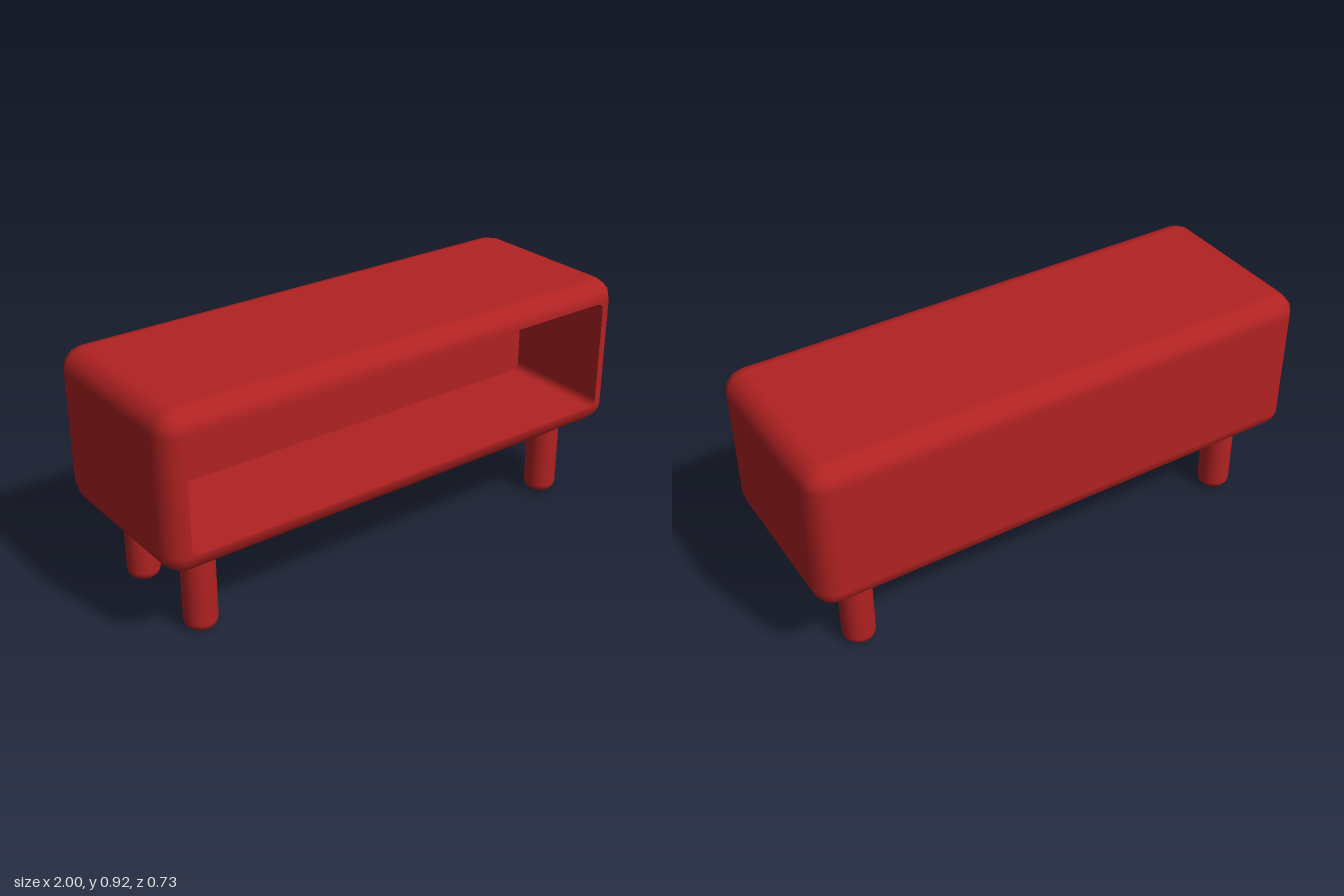
import * as THREE from 'three';

const RED = new THREE.MeshStandardMaterial({ color: 0xb22222 });
RED.name = 'red';

const HX = 1, HY = 0.2975, HZ = 0.365;  // half sizes of the cabinet
const CENTRE_Y = 0.6175;
const BEVEL = 0.08, STEPS = 3;          // edge rounding
const NICHE_DEPTH = 0.44, NICHE_R = 0.03;
const IX = HX - BEVEL, IY = HY - BEVEL; // half sizes inside the bevel

// A ring is a rounded rectangle: corner centres at (ix, iy), corner radius r,
// depth z, and a normal with nr along the corner direction and nz along z.
const ring = (ix, iy, r, z, nr, nz) => ({ ix, iy, r, z, nr, nz });

// Skins each strip of rings; normals are smooth inside a strip, sharp between strips.
function loft(strips) {
  const pos = [], nor = [], idx = [];
  const n = 4 * (STEPS + 1);
  for (const strip of strips) {
    const base = pos.length / 3;
    for (const s of strip) {
      for (let q = 0; q < 4; q++) {
        const sx = q === 0 || q === 3 ? 1 : -1, sy = q < 2 ? 1 : -1;
        for (let k = 0; k <= STEPS; k++) {
          const t = (q + k / STEPS) * Math.PI / 2;
          const c = Math.cos(t), d = Math.sin(t);
          pos.push(sx * s.ix + s.r * c, sy * s.iy + s.r * d, s.z);
          nor.push(s.nr * c, s.nr * d, s.nz);
        }
      }
    }
    for (let i = 0; i < strip.length - 1; i++) {
      for (let j = 0; j < n; j++) {
        const a = base + i * n + j, b = base + i * n + (j + 1) % n;
        idx.push(a, a + n, b + n, a, b + n, b);
      }
    }
  }
  const g = new THREE.BufferGeometry();
  g.setAttribute('position', new THREE.Float32BufferAttribute(pos, 3));
  g.setAttribute('normal', new THREE.Float32BufferAttribute(nor, 3));
  g.setIndex(idx);
  return g;
}

function add(parent, geometry, name, x = 0, y = 0, z = 0) {
  const mesh = new THREE.Mesh(geometry, RED);
  mesh.name = name;
  mesh.position.set(x, y, z);
  parent.add(mesh);
}

export function createModel() {
  const group = new THREE.Group();
  group.name = 'lowCabinet';

  // Rounded outer shell: front rim, bevels, sides and back
  const hole = (z, nr, nz) => ring(IX - NICHE_R, IY - NICHE_R, NICHE_R, z, nr, nz);
  const shell = [hole(HZ, 0, 1)];
  for (const side of [1, -1]) {
    for (let k = 0; k <= STEPS; k++) {
      const a = (side > 0 ? 1 - k / STEPS : -k / STEPS) * Math.PI / 2;
      const c = Math.cos(a), s = Math.sin(a);
      shell.push(ring(IX, IY, BEVEL * c, side * (HZ - BEVEL) + BEVEL * s, c, s));
    }
  }
  shell.push(ring(0, 0, 0, -HZ, 0, -1));
  add(group, loft([shell]), 'cabinetShell', 0, CENTRE_Y);

  // Open compartment: back panel and inner walls
  const back = HZ - NICHE_DEPTH;
  add(group, loft([
    [ring(0, 0, 0, back, 0, 1), hole(back, 0, 1)],
    [hole(back, -1, 0), hole(HZ, -1, 0)],
  ]), 'compartment', 0, CENTRE_Y);

  // Four round legs with softened feet
  const R = 0.062, F = 0.035;
  const profile = [new THREE.Vector2(0, 0)];
  for (let k = 0; k <= STEPS; k++) {
    const a = k / STEPS * Math.PI / 2;
    profile.push(new THREE.Vector2(R - F + F * Math.sin(a), F - F * Math.cos(a)));
  }
  profile.push(new THREE.Vector2(R, 0.34));
  const leg = new THREE.LatheGeometry(profile, 32);
  for (const x of [-1, 1]) {
    for (const z of [-1, 1]) {
      add(group, leg, (z > 0 ? 'front' : 'back') + (x > 0 ? 'Left' : 'Right') + 'Leg', x * 0.81, 0, z * 0.2);
    }
  }
  return group;
}
